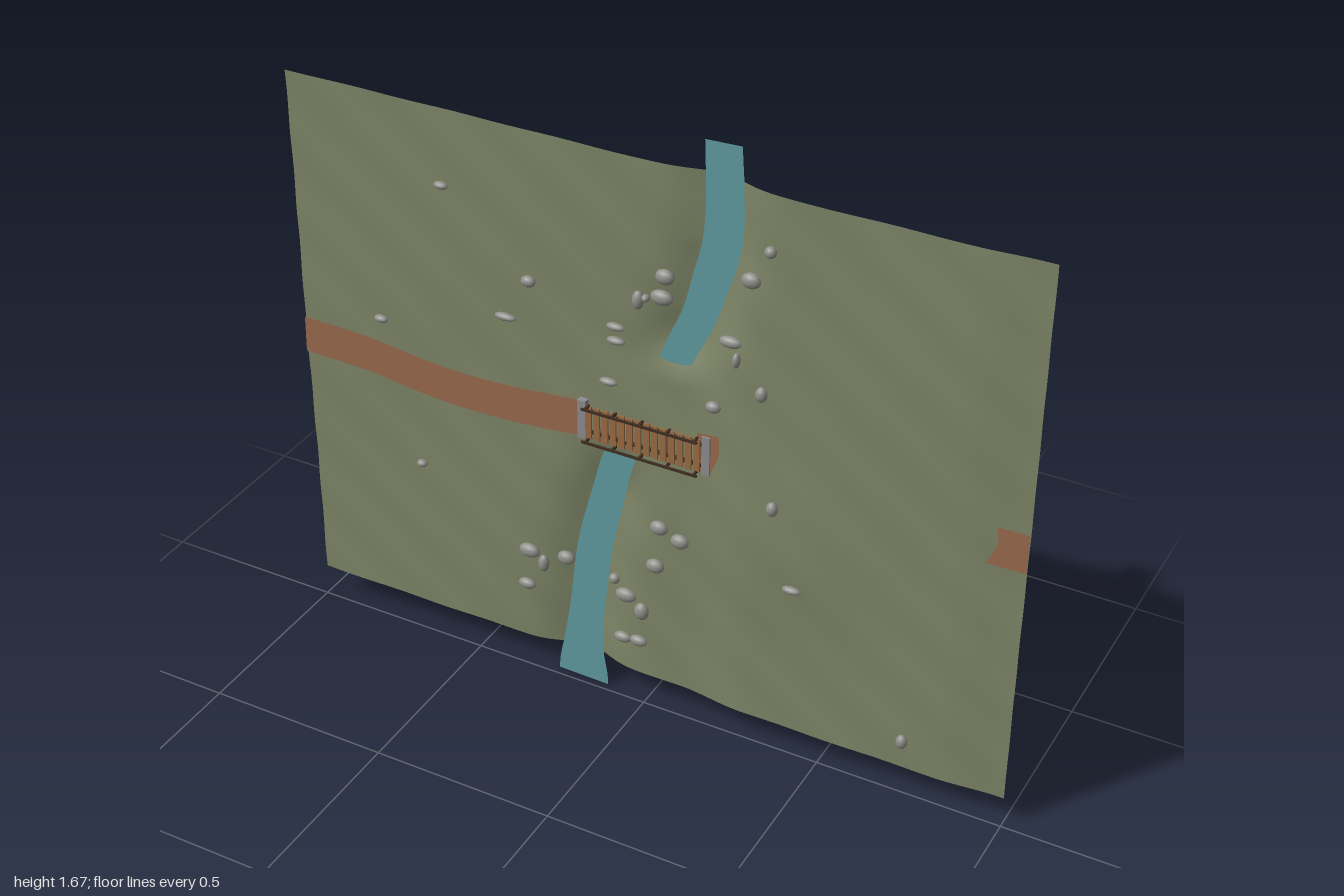
import * as THREE from 'three';

const mat = (color, side = THREE.FrontSide) => new THREE.MeshStandardMaterial({ color, side });
const smooth = THREE.MathUtils.smoothstep;
const gauss = (d, s) => Math.exp(-((d / s) ** 2));

// Centre lines lying in the xy plane
const line = pts => new THREE.CatmullRomCurve3(pts.map(([x, y]) => new THREE.Vector3(x, y, 0)));
const streamPts = [[-0.192, 0], [-0.19, 0.1], [-0.17, 0.3], [-0.15, 0.45], [-0.115, 0.6], [-0.075, 0.75],
  [0.02, 0.93], [0.09, 1.1], [0.135, 1.2], [0.165, 1.3], [0.192, 1.4], [0.2, 1.5], [0.193, 1.67]];
const pathLeft = [[-1, 0.837], [-0.8, 0.832], [-0.6, 0.81], [-0.4, 0.81], [-0.16, 0.833]];
const pathRight = [[0.15, 0.838], [0.3, 0.85], [0.45, 0.86], [0.7, 0.85], [0.85, 0.825], [1, 0.825]];

// x of the stream centre at height y
function streamX(y) {
  for (let i = 1; i < streamPts.length; i++) {
    const [x0, y0] = streamPts[i - 1], [x1, y1] = streamPts[i];
    if (y <= y1) return x0 + (x1 - x0) * (y - y0) / (y1 - y0);
  }
  return streamPts.at(-1)[0];
}

// Relief of the ground: gentle swell, fine ripples and the stream bed
function groundZ(x, y) {
  const base = -0.011 + 0.017 * smooth(x, 0.1, 0.3) - 0.01 * smooth(x, 0.82, 1);
  const swell = 0.013 * gauss(Math.hypot(x - 0.4, y - 0.62), 0.22);
  const ripple = 0.0012 * Math.sin(22 * x + 30 * y) + 0.001 * Math.sin(5 * x - 7 * y);
  const lower = 0.038 * (1 - smooth(y, 0.6, 0.84));
  const upper = 0.034 * smooth(y, 1.0, 1.15);
  return base + swell + ripple - (lower + upper) * gauss(x - streamX(y), 0.09);
}

// Flat strip following a centre line; z may vary along it
function ribbon(name, pts, halfWidth, z, color, n = 60) {
  const curve = line(pts), pos = [], idx = [];
  for (let i = 0; i <= n; i++) {
    const t = i / n, p = curve.getPoint(t), d = curve.getTangent(t), w = halfWidth(t);
    pos.push(p.x + d.y * w, p.y - d.x * w, z, p.x - d.y * w, p.y + d.x * w, z);
    if (i < n) {
      const a = 2 * i;
      idx.push(a, a + 2, a + 1, a + 1, a + 2, a + 3);
    }
  }
  const g = new THREE.BufferGeometry();
  g.setAttribute('position', new THREE.Float32BufferAttribute(pos, 3));
  g.setIndex(idx);
  g.computeVertexNormals();
  const m = new THREE.Mesh(g, mat(color, THREE.DoubleSide));
  m.name = name;
  return m;
}

function box(name, w, h, d, x, y, z, material) {
  const m = new THREE.Mesh(new THREE.BoxGeometry(w, h, d), material);
  m.name = name;
  m.position.set(x, y, z);
  return m;
}

function createBridge() {
  const bridge = new THREE.Group();
  bridge.name = 'bridge';
  const wood = mat(0x9a6a42), dark = mat(0x3f2d20), stone = mat(0x8c8c90);
  const mid = 0.833;
  // Deck planks on two bearers
  const count = 14;
  for (let i = 0; i < count; i++) {
    const x = -0.15 + 0.3 * i / (count - 1);
    bridge.add(box('plank', 0.0165, 0.094, 0.005, x, mid, 0.007, wood));
  }
  for (const s of [-1, 1]) {
    bridge.add(box('bearer', 0.32, 0.008, 0.008, 0, mid + s * 0.03, 0.001, dark));
    // Handrail and its posts
    bridge.add(box('handrail', 0.32, 0.006, 0.005, 0, mid + s * 0.048, 0.027, dark));
    for (let i = 0; i < 5; i++) {
      bridge.add(box('railPost', 0.006, 0.006, 0.024, -0.15 + i * 0.075, mid + s * 0.048, 0.016, dark));
    }
    // Stone supports
    bridge.add(box('abutment', 0.022, 0.11, 0.036, s * 0.172, mid, -0.013, stone));
    bridge.add(box('pier', 0.018, 0.065, 0.032, s * 0.056, mid, -0.013, stone));
  }
  return bridge;
}

function createRocks() {
  // x, y, width, height in hundredths
  const list = [
    -56, 138, 4, 2, 33, 144, 3, 3, 28, 135, 5, 4, 5, 129, 5, 4, 4, 123, 6, 4, -2, 121, 3, 5,
    0, 122, 2, 2, -32, 118, 4, 3, 23, 117, 6, 3, 25, 113, 2, 4, -8, 112, 5, 2, -8, 108, 5, 2,
    -39, 106, 6, 2, 32, 106, 3, 4, -76, 95, 4, 2, -10, 96, 5, 2, 19, 98, 4, 3, 36, 75, 3, 4,
    4, 57, 5, 4, 10, 55, 5, 4, 42, 53, 5, 2, 3, 45, 5, 4, -66, 54, 3, 2, -34, 37, 6, 4,
    -30, 34, 3, 5, -24, 37, 5, 4, -35, 26, 5, 3, -10, 35, 3, 3, -6, 32, 6, 4, -1, 29, 4, 5,
    -7, 18, 5, 3, -2, 19, 5, 3, 73, 17, 3, 4];
  const rocks = new THREE.Group();
  rocks.name = 'rocks';
  const geo = new THREE.SphereGeometry(1, 12, 8), stone = mat(0x8f8f8a);
  for (let i = 0; i < list.length; i += 4) {
    const [x, y, w, h] = list.slice(i, i + 4).map(v => v / 100);
    const rock = new THREE.Mesh(geo, stone);
    rock.name = 'rock';
    rock.scale.set(w / 2, h / 2, 0.008 + 0.2 * Math.min(w, h));
    rock.position.set(x, y, groundZ(x, y) + 0.005);
    rocks.add(rock);
  }
  return rocks;
}

export function createModel() {
  const model = new THREE.Group();
  model.name = 'streamLandscape';

  // Ground sheet
  const geo = new THREE.PlaneGeometry(2, 1.5, 140, 105).translate(0, 0.835, 0);
  const p = geo.attributes.position;
  for (let i = 0; i < p.count; i++) p.setZ(i, groundZ(p.getX(i), p.getY(i)));
  geo.computeVertexNormals();
  const ground = new THREE.Mesh(geo, mat(0x7d8566, THREE.DoubleSide));
  ground.name = 'ground';
  model.add(ground);

  // Water and the two stretches of path
  model.add(ribbon('stream', streamPts, t => 0.045 + 0.028 * (1 - smooth(t, 0, 0.15)) + 0.005 * Math.sin(t * 9), -0.021, 0x5f9a9f));
  model.add(ribbon('pathLeft', pathLeft, () => 0.052, -0.004, 0x98694c));
  model.add(ribbon('pathRight', pathRight, () => 0.054, 0.0, 0x98694c));

  model.add(createBridge(), createRocks());
  return model;
}
